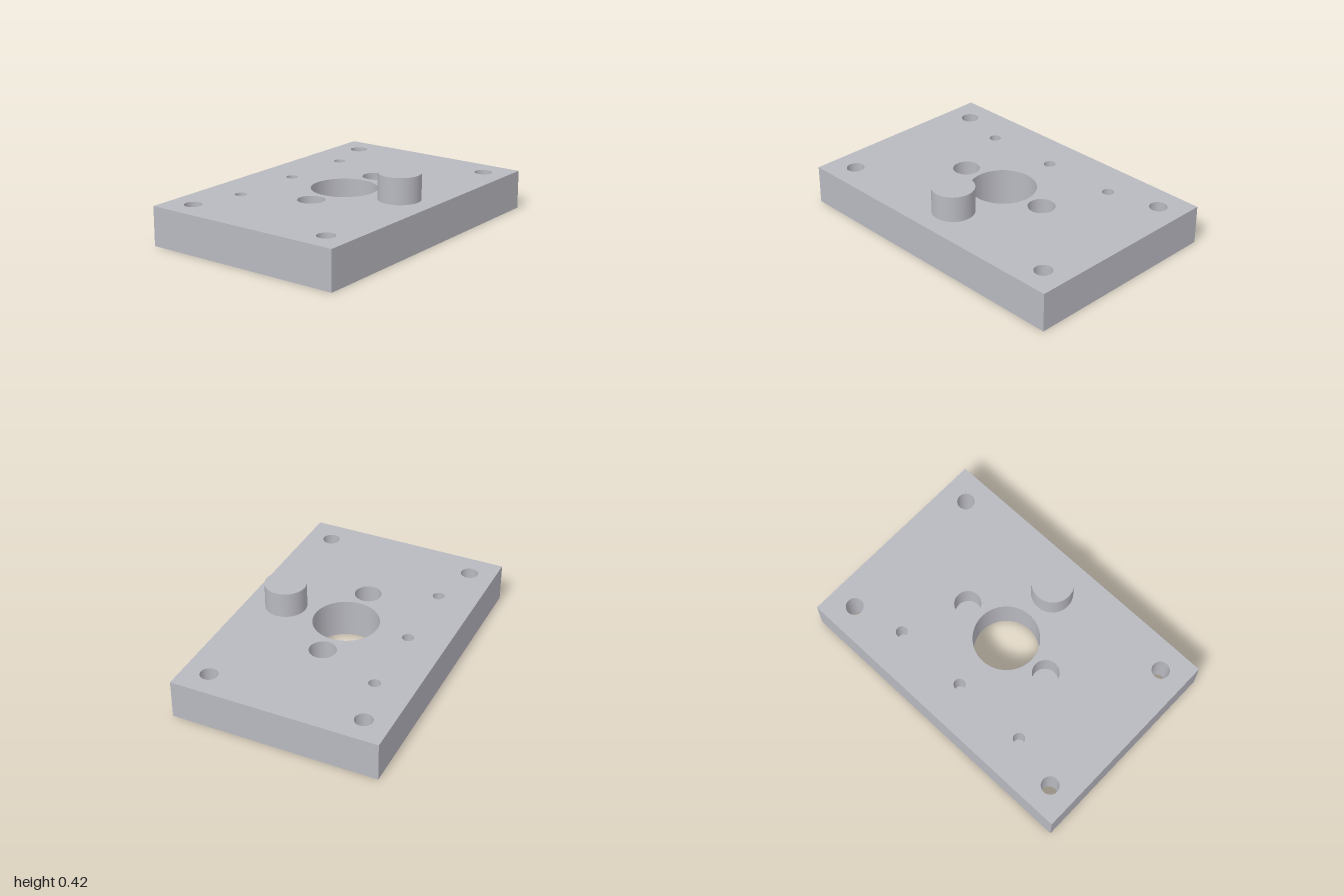
import * as THREE from 'three';
import { mergeGeometries } from 'three/addons/utils/BufferGeometryUtils.js';

const W = 2, D = 1.333, H = 0.25, SEG = 48;
const PIN = { x: 0, z: 0.417, r: 0.133, top: 0.417 };

// Holes by position, radius and the height of their floor (0 = right through)
const holes = [{ name: 'centreBore', x: 0, z: 0, r: 0.21, floor: 0 }];
for (const x of [-0.833, 0.833])
  for (const z of [-0.5, 0.5]) holes.push({ name: 'cornerHole', x, z, r: 0.056, floor: 0 });
for (const x of [-0.333, 0.333]) holes.push({ name: 'sidePocket', x, z: 0, r: 0.085, floor: 0.083 });
for (const x of [-0.5, 0, 0.5]) holes.push({ name: 'smallHole', x, z: -0.417, r: 0.037, floor: 0.1 });

// Rectangular face in the XZ plane with round openings
function face(openings, up) {
  const s = up ? -1 : 1;
  const shape = new THREE.Shape([
    new THREE.Vector2(-W / 2, -D / 2), new THREE.Vector2(W / 2, -D / 2),
    new THREE.Vector2(W / 2, D / 2), new THREE.Vector2(-W / 2, D / 2),
  ]);
  for (const o of openings)
    shape.holes.push(new THREE.Path().absarc(o.x, s * o.z, o.r, 0, Math.PI * 2, true));
  return new THREE.ShapeGeometry(shape, SEG).rotateX(s * Math.PI / 2);
}

// Round wall: rising profiles face outward, falling profiles face inward
const wall = (r, y0, y1) =>
  new THREE.LatheGeometry([new THREE.Vector2(r, y0), new THREE.Vector2(r, y1)], SEG);
const disc = (r, y) => new THREE.CircleGeometry(r, SEG).rotateX(-Math.PI / 2).translate(0, y, 0);

export function createModel() {
  const group = new THREE.Group();
  const metal = new THREE.MeshStandardMaterial({ color: 0xb8b8c0 });
  metal.name = 'light grey metal';
  const add = (name, geometry, x = 0, z = 0) => {
    const mesh = new THREE.Mesh(geometry, metal);
    mesh.name = name;
    mesh.position.set(x, 0, z);
    group.add(mesh);
  };

  // Plate faces and its four edges
  add('plateTop', face([...holes, PIN], true).translate(0, H, 0));
  add('plateBottom', face(holes.filter((h) => h.floor === 0), false));
  const edges = [];
  for (let i = 0; i < 4; i++) {
    const [len, off] = i % 2 ? [D, W / 2] : [W, D / 2];
    edges.push(new THREE.PlaneGeometry(len, H).translate(0, H / 2, off).rotateY(i * Math.PI / 2));
  }
  add('plateEdges', mergeGeometries(edges));

  // Hole walls, with floors in the blind ones
  for (const h of holes) {
    add(h.name, wall(h.r, H, h.floor), h.x, h.z);
    if (h.floor > 0) add(h.name + 'Floor', disc(h.r, h.floor), h.x, h.z);
  }

  // Locating pin
  add('pinSide', wall(PIN.r, H, PIN.top), PIN.x, PIN.z);
  add('pinTop', disc(PIN.r, PIN.top), PIN.x, PIN.z);
  return group;
}
